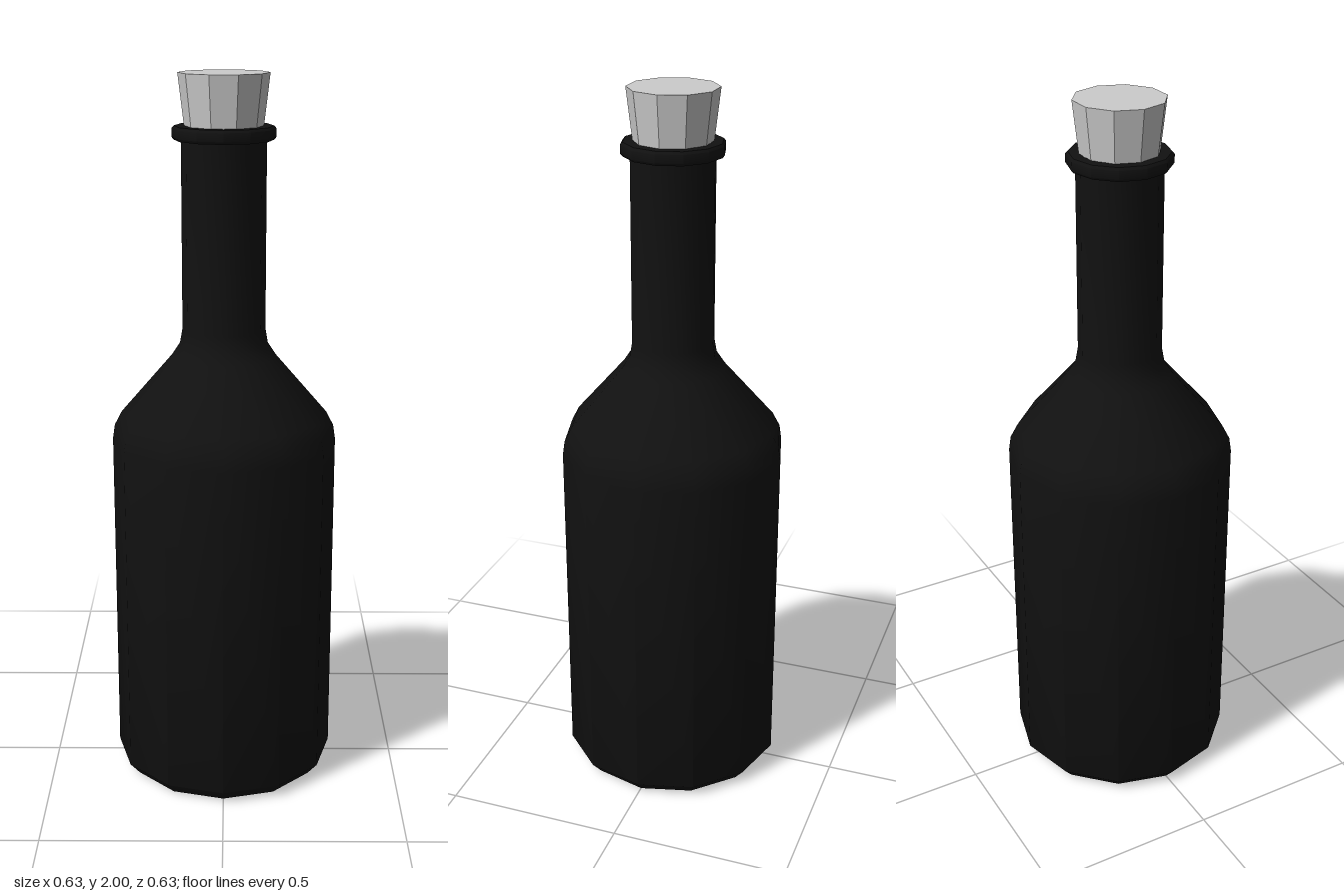
import * as THREE from 'three';
import { toCreasedNormals } from 'three/addons/utils/BufferGeometryUtils.js';

export function createModel() {
  const group = new THREE.Group();
  group.name = 'corkedBottle';

  // Bottle: twelve-sided lathe, from base centre up to the mouth
  const profile = [
    [0, 0.005], [0.285, 0.005], [0.315, 0.035],              // base and chamfer
    [0.315, 0.99], [0.309, 1.03], [0.288, 1.07],             // body and shoulder
    [0.145, 1.235], [0.122, 1.27], [0.115, 1.31],            // slope into neck
    [0.115, 1.825], [0.134, 1.825], [0.14, 1.832],           // neck, lip underside
    [0.14, 1.855], [0.134, 1.862], [0.104, 1.862],           // lip
    [0.096, 1.78],                                           // inside of the mouth
  ].map(([r, y]) => new THREE.Vector2(r, y === 0.005 ? 0 : y));
  const bottle = new THREE.Mesh(
    toCreasedNormals(new THREE.LatheGeometry(profile, 12), 0.7),
    new THREE.MeshStandardMaterial({ color: 0x111111, side: THREE.DoubleSide })
  );
  bottle.name = 'bottle';
  group.add(bottle);

  // Cork: tapered, ten-sided, faceted, with a corner on each side of the x axis
  const bottom = 1.78, top = 2;
  const cork = new THREE.Mesh(
    new THREE.CylinderGeometry(0.123, 0.097, top - bottom, 10, 1, false, Math.PI / 2),
    new THREE.MeshStandardMaterial({ color: 0xcccccc, flatShading: true })
  );
  cork.name = 'cork';
  cork.position.y = (top + bottom) / 2;
  group.add(cork);

  return group;
}
